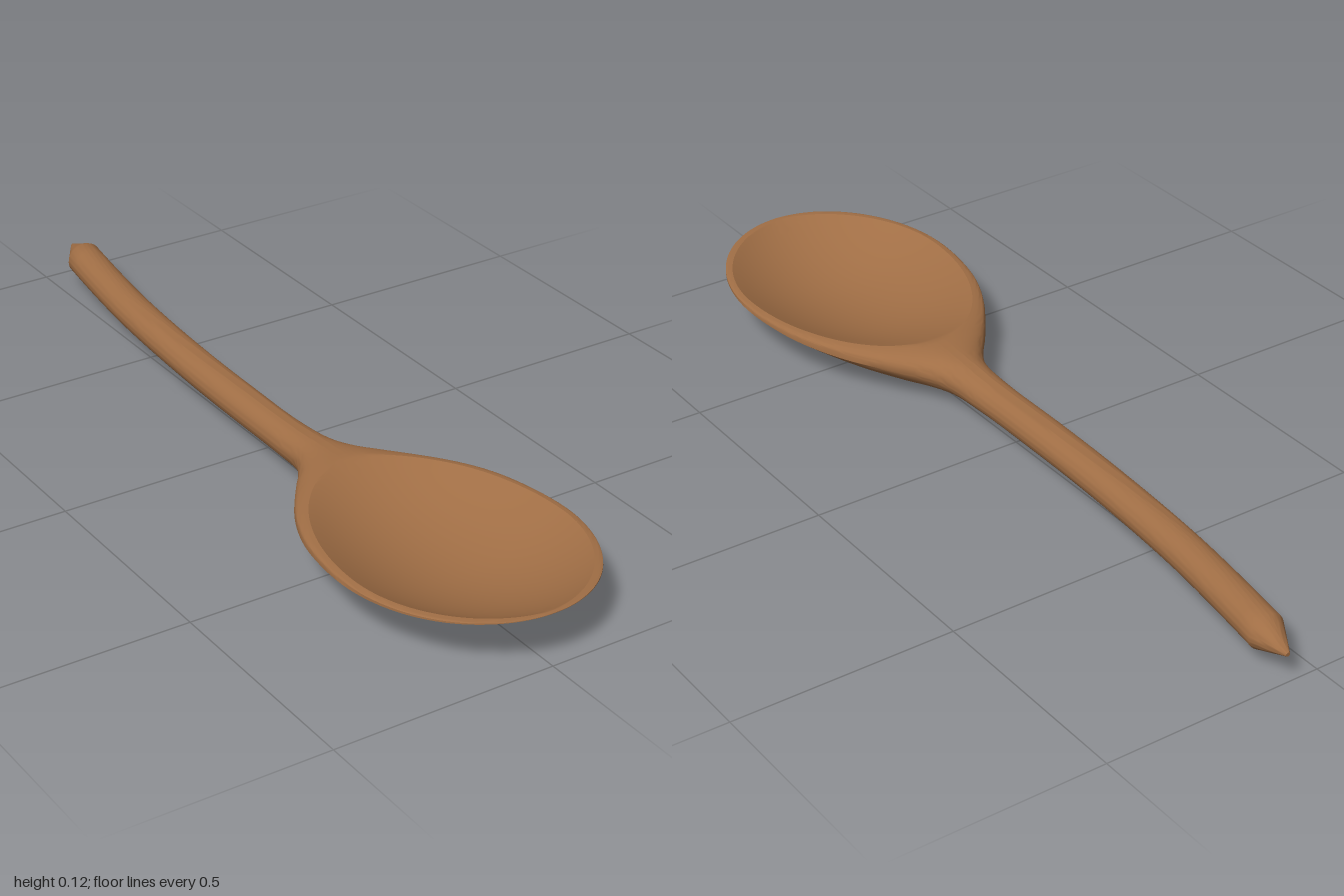
import * as THREE from 'three';
import { toCreasedNormals, mergeVertices } from 'three/addons/utils/BufferGeometryUtils.js';

// Smooth curve through [z, value] pairs
function profile(points) {
  const spline = new THREE.CubicInterpolant(points.map(p => p[0]), points.map(p => p[1]), 1, new Float32Array(1));
  return z => spline.evaluate(z)[0];
}

const centreX = profile([[-1, 0.076], [-0.9, 0.06], [-0.75, 0.038], [-0.6, 0.02], [-0.3, 0.001], [0, -0.004], [0.2, -0.002], [0.35, 0], [1, 0]]);
const backWidth = profile([[-1, 0.043], [-0.1, 0.043], [0.1, 0.045], [0.2, 0.057], [0.25, 0.085], [0.3, 0.125], [0.4, 0.193], [0.5, 0.238], [0.6, 0.26], [0.68, 0.266], [0.76, 0.262]]);
const edgeY = profile([[-1, 0.066], [-0.1, 0.067], [0.1, 0.067], [0.3, 0.076], [0.5, 0.091], [0.7, 0.102], [0.9, 0.112], [1, 0.12]]);
const topY = profile([[-1, 0.105], [-0.1, 0.105], [0.1, 0.106], [0.2, 0.112], [0.3, 0.117], [0.5, 0.116], [0.7, 0.117], [0.9, 0.119], [1, 0.1215]]);
const bottomY = profile([[-1, 0.029], [0, 0.029], [0.15, 0.028], [0.22, 0.023], [0.3, 0.015], [0.4, 0.005], [0.53, 0], [0.65, 0.005], [0.8, 0.03], [0.9, 0.066], [1, 0.12]]);

// 0 at the edge of the hollow, 1 at its widest
function hollow(z) {
  const d = (z - 0.69) / (z < 0.69 ? 0.39 : 0.3);
  return Math.max(0, 1 - d * d);
}

// One closed cross-section: underside, rim, hollow, rim
function section(z) {
  const tip = 0.12 + 0.88 * Math.min(1, (z + 1) / 0.08);
  const front = (z - 0.68) / 0.32;
  const w = tip * (z < 0.68 ? backWidth(z) : 0.266 * Math.sqrt(Math.max(1e-5, 1 - front * front)));
  const cx = centreX(z), mid = edgeY(z);
  const up = (topY(z) - mid) * tip, down = (mid - bottomY(z)) * tip;
  const bowl = THREE.MathUtils.smoothstep(z, 0.1, 0.5);
  const underPower = 1 + bowl, topPower = 1 - 0.75 * bowl;
  const h = hollow(z);
  const inner = Math.min(0.96 * w, Math.max(0.25 * Math.pow(h, 0.56), 0.3 * w));
  const rimAngle = Math.acos(inner / w);
  const topAt = a => mid + up * Math.pow(Math.max(0, Math.sin(a)), topPower);
  const points = [];
  for (let i = 0; i < 24; i++) {
    const a = Math.PI * i / 24;
    points.push([cx - w * Math.cos(a), mid - down * Math.pow(Math.sin(a), underPower), z]);
  }
  for (let i = 0; i < 8; i++) {
    const a = rimAngle * i / 8;
    points.push([cx + w * Math.cos(a), topAt(a), z]);
  }
  for (let i = 0; i <= 20; i++) {
    const u = 1 - i / 10;
    const a = Math.acos(u * inner / w);
    points.push([cx + u * inner, topAt(a) - 0.08 * h * (1 - u * u), z]);
  }
  for (let i = 7; i > 0; i--) {
    const a = rimAngle * i / 8;
    points.push([cx - w * Math.cos(a), topAt(a), z]);
  }
  return points;
}

// Skin the cross-sections and close both ends
function loft(sections) {
  const n = sections[0].length, index = [];
  for (let s = 0; s < sections.length - 1; s++) {
    for (let i = 0; i < n; i++) {
      const j = (i + 1) % n, a = s * n, b = a + n;
      index.push(a + i, a + j, b + j, a + i, b + j, b + i);
    }
  }
  const last = (sections.length - 1) * n;
  for (let i = 1; i < n - 1; i++) {
    index.push(0, i + 1, i, last, last + i, last + i + 1);
  }
  const geometry = new THREE.BufferGeometry();
  geometry.setAttribute('position', new THREE.Float32BufferAttribute(sections.flat(2), 3));
  geometry.setIndex(index);
  return toCreasedNormals(mergeVertices(geometry, 1e-5), 0.5);
}

export function createModel() {
  const wood = new THREE.MeshStandardMaterial({ color: 0xa06e45 });
  wood.name = 'wood';

  // Stations: pointed tip, handle, neck and bowl, then closer together at the front
  const stations = [];
  for (let i = 0; i < 4; i++) stations.push(-1 + 0.02 * i);
  for (let i = 0; i < 24; i++) stations.push(-0.92 + 1.02 * i / 24);
  for (let i = 0; i < 40; i++) stations.push(0.1 + 0.58 * i / 40);
  for (let i = 0; i <= 28; i++) stations.push(0.68 + 0.32 * Math.sin(Math.PI / 2 * i / 28));

  const spoon = new THREE.Mesh(loft(stations.map(section)), wood);
  spoon.name = 'spoonBody';

  const group = new THREE.Group();
  group.name = 'woodenSpoon';
  group.add(spoon);
  return group;
}
